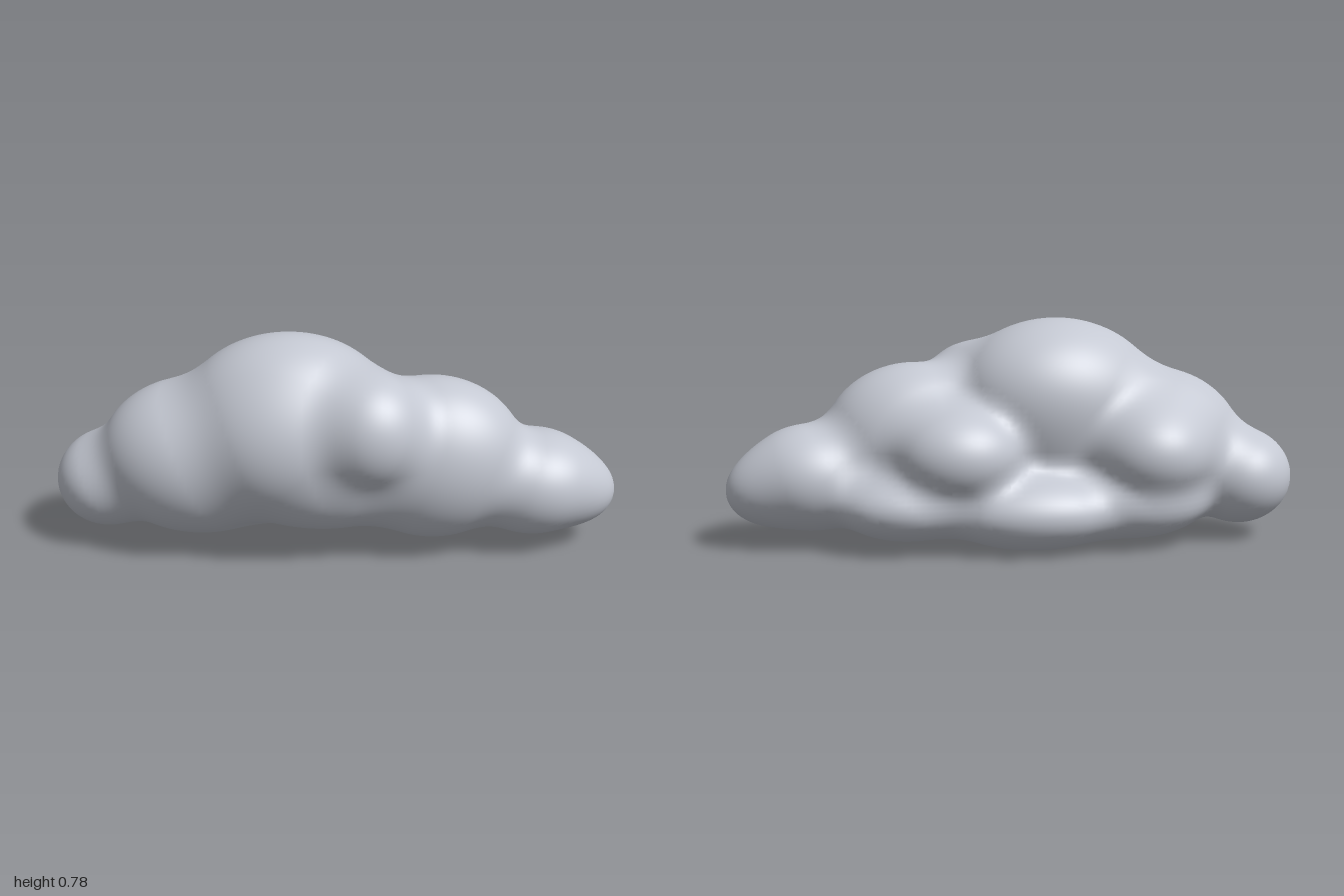
import * as THREE from 'three';

// Puffs of the cloud: centre x, y, z and radii x, y, z
const PUFFS = [
  [-0.16, 0.45, 0.045, 0.395, 0.337, 0.285], // crown
  [-0.12, 0.53, -0.07, 0.25, 0.18, 0.165],  // crown back
  [-0.20, 0.42, 0.14, 0.25, 0.22, 0.20],    // crown front
  [0.12, 0.49, 0.17, 0.20, 0.205, 0.20],    // front puff
  [0.00, 0.29, 0.07, 0.30, 0.19, 0.21],     // front underside
  [0.34, 0.343, 0.035, 0.33, 0.292, 0.24],  // left shoulder
  [0.70, 0.24, -0.005, 0.24, 0.188, 0.213], // left tail
  [0.87, 0.20, -0.025, 0.13, 0.112, 0.12],  // left tip
  [-0.49, 0.335, 0.02, 0.34, 0.278, 0.277], // right shoulder
  [-0.81, 0.225, -0.03, 0.19, 0.172, 0.205], // right tail
  [-0.47, 0.335, -0.16, 0.205, 0.17, 0.207], // back puffs
  [0.20, 0.335, -0.165, 0.22, 0.165, 0.202],
  [-0.06, 0.14, -0.16, 0.32, 0.137, 0.216], // base puffs
  [0.37, 0.16, -0.12, 0.25, 0.125, 0.205],
  [-0.42, 0.155, -0.11, 0.25, 0.127, 0.21],
];
const BLEND = 0.08;

// Distance to one ellipsoid
function puffDistance(p, x, y, z) {
  const a = (x - p[0]) / p[3], b = (y - p[1]) / p[4], c = (z - p[2]) / p[5];
  const k0 = Math.hypot(a, b, c);
  const k1 = Math.hypot(a / p[3], b / p[4], c / p[5]);
  return k1 < 1e-6 ? -Math.min(p[3], p[4], p[5]) : k0 * (k0 - 1) / k1;
}

// Smooth union of all puffs
function field(x, y, z) {
  let d = 10;
  for (const p of PUFFS) {
    const e = puffDistance(p, x, y, z);
    const h = Math.max(BLEND - Math.abs(d - e), 0) / BLEND;
    d = Math.min(d, e) - h * h * BLEND * 0.25;
  }
  return d;
}

function gradient(x, y, z) {
  const e = 0.002;
  return new THREE.Vector3(
    field(x + e, y, z) - field(x - e, y, z),
    field(x, y + e, z) - field(x, y - e, z),
    field(x, y, z + e) - field(x, y, z - e)
  ).divideScalar(2 * e);
}

// Skin the field: one vertex per grid cell crossed by the surface
function buildSkin() {
  const s = 0.022, min = [-1.1, -0.1, -0.5], n = [100, 46, 46];
  const id = (i, j, k) => (i * n[1] + j) * n[2] + k;
  const step = [n[1] * n[2], n[2], 1];
  const values = new Float32Array(n[0] * n[1] * n[2]);
  const cells = new Int32Array(values.length).fill(-1);
  const each = (from, f) => {
    for (let i = from; i < n[0] - 1; i++)
      for (let j = from; j < n[1] - 1; j++)
        for (let k = from; k < n[2] - 1; k++) f(i, j, k, id(i, j, k));
  };
  for (let i = 0; i < n[0]; i++)
    for (let j = 0; j < n[1]; j++)
      for (let k = 0; k < n[2]; k++)
        values[id(i, j, k)] = field(min[0] + i * s, min[1] + j * s, min[2] + k * s);

  const positions = [], normals = [], index = [];
  each(0, (i, j, k, c) => {
    let inside = 0;
    for (let m = 0; m < 8; m++) {
      const corner = c + (m & 1) * step[0] + ((m >> 1) & 1) * step[1] + (m >> 2) * step[2];
      if (values[corner] < 0) inside++;
    }
    if (inside === 0 || inside === 8) return;
    // Pull the cell centre onto the surface
    const v = new THREE.Vector3(min[0] + (i + 0.5) * s, min[1] + (j + 0.5) * s, min[2] + (k + 0.5) * s);
    for (let t = 0; t < 4; t++) {
      const g = gradient(v.x, v.y, v.z);
      v.addScaledVector(g, -field(v.x, v.y, v.z) / Math.max(g.lengthSq(), 0.2));
    }
    cells[c] = positions.length / 3;
    positions.push(v.x, v.y, v.z);
    normals.push(...gradient(v.x, v.y, v.z).normalize());
  });
  // A quad around each grid edge that crosses the surface
  each(1, (i, j, k, c) => {
    for (let axis = 0; axis < 3; axis++) {
      const inA = values[c] < 0, inB = values[c + step[axis]] < 0;
      if (inA === inB) continue;
      const u = step[(axis + 1) % 3], w = step[(axis + 2) % 3];
      const q = [cells[c - u - w], cells[c - w], cells[c], cells[c - u]];
      if (!inA) q.reverse();
      index.push(q[0], q[1], q[2], q[0], q[2], q[3]);
    }
  });

  const geometry = new THREE.BufferGeometry();
  geometry.setAttribute('position', new THREE.Float32BufferAttribute(positions, 3));
  geometry.setAttribute('normal', new THREE.Float32BufferAttribute(normals, 3));
  geometry.setIndex(index);
  return geometry;
}

export function createModel() {
  const group = new THREE.Group();
  group.name = 'cloud';
  const material = new THREE.MeshStandardMaterial({ color: 0xc4c8d2 });
  material.name = 'cloud grey';

  // Centre the cloud and stand it on the ground
  const geometry = buildSkin();
  geometry.computeBoundingBox();
  const centre = geometry.boundingBox.getCenter(new THREE.Vector3());
  geometry.translate(-centre.x, -geometry.boundingBox.min.y, -centre.z);

  const body = new THREE.Mesh(geometry, material);
  body.name = 'cloudBody';
  group.add(body);
  return group;
}
